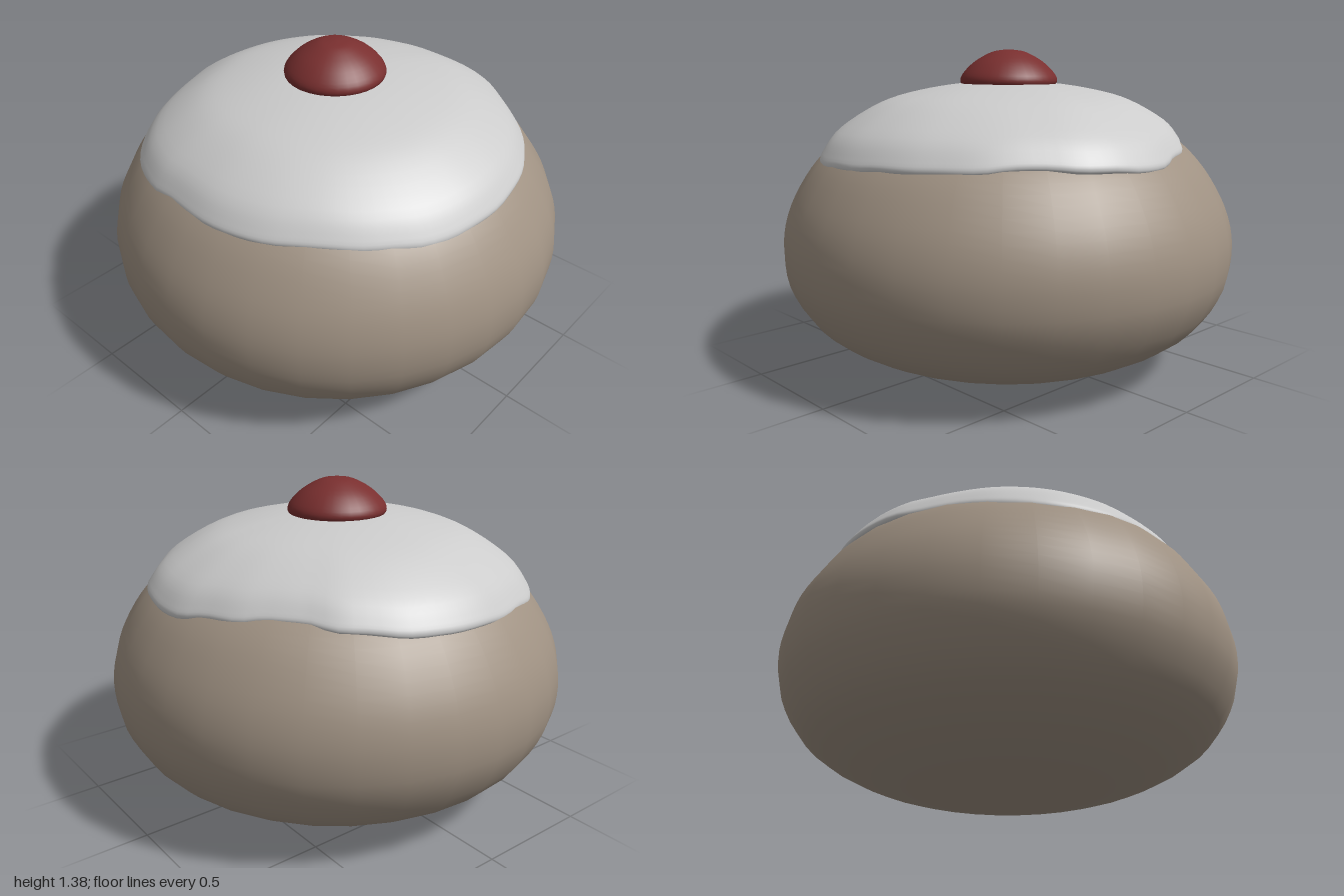
import * as THREE from 'three';
import { mergeVertices } from 'three/addons/utils/BufferGeometryUtils.js';

// Smooth curve through a few [radius, height] points, bottom to top
function profile(points, count) {
  const curve = new THREE.SplineCurve(points.map(([r, y]) => new THREE.Vector2(r, y)));
  const result = curve.getPoints(count);
  result.forEach((p) => { p.x = Math.max(p.x, 0); });
  result[count].x = 0;
  return result;
}

// Turned shape, optionally reshaped by a rule, welded for seamless smooth normals
function turned(name, points, count, sides, color, rule) {
  let geometry = new THREE.LatheGeometry(profile(points, count), sides);
  geometry.deleteAttribute('uv');
  geometry.deleteAttribute('normal');
  const pos = geometry.attributes.position;
  const v = new THREE.Vector3();
  if (rule) {
    for (let i = 0; i < pos.count; i++) {
      rule(v.fromBufferAttribute(pos, i));
      pos.setXYZ(i, v.x, v.y, v.z);
    }
  }
  geometry = mergeVertices(geometry, 1e-5);
  geometry.computeVertexNormals();
  const material = new THREE.MeshStandardMaterial({ color, side: THREE.DoubleSide });
  const mesh = new THREE.Mesh(geometry, material);
  mesh.name = name;
  return mesh;
}

// Icing rim: [angle from +x towards +z, radius, height of the lower edge]
const RIM = [
  [0, 0.83, 0.925], [21, 0.83, 0.94], [37, 0.80, 0.955], [56, 0.815, 0.937],
  [76, 0.825, 0.932], [94, 0.832, 0.918], [111, 0.836, 0.905], [128, 0.82, 0.922],
  [143, 0.81, 0.937], [162, 0.82, 0.93], [173, 0.82, 0.925], [187, 0.81, 0.925],
  [205, 0.837, 0.90], [217, 0.856, 0.885], [230, 0.85, 0.89], [249, 0.828, 0.91],
  [270, 0.835, 0.925], [288, 0.83, 0.93], [302, 0.80, 0.955], [322, 0.762, 0.977],
  [343, 0.79, 0.955],
];

// Cosine-weighted rim value at any angle
function rimAt(degrees) {
  let radius = 0, height = 0, total = 0;
  for (const [a, r, y] of RIM) {
    const d = Math.abs(((degrees - a + 540) % 360) - 180);
    const w = Math.exp(-((d / 9) ** 2));
    radius += w * r;
    height += w * y;
    total += w;
  }
  return [radius / total, height / total];
}

// The unit icing cap is scaled to the rim at each angle
function shapeIcing(v) {
  const degrees = (THREE.MathUtils.radToDeg(Math.atan2(v.z, v.x)) + 360) % 360;
  const [radius, edge] = rimAt(degrees);
  v.x *= radius;
  v.z *= radius;
  v.y = edge + v.y * (1.25 - edge);
}

export function createModel() {
  const model = new THREE.Group();
  model.name = 'icedBun';

  // Bun
  model.add(turned('bun', [
    [0, 0.005], [0.3, 0.018], [0.6, 0.07], [0.85, 0.2], [0.97, 0.37], [1, 0.53],
    [0.976, 0.68], [0.91, 0.82], [0.82, 0.94], [0.69, 1.04], [0.5, 1.13], [0.25, 1.18], [0, 1.195],
  ], 40, 32, 0xa09283));

  // Icing with a rolled, wavy edge
  model.add(turned('icing', [
    [0.9, 0.04], [0.96, 0], [0.985, -0.005], [1, 0.04], [0.985, 0.14], [0.9, 0.4],
    [0.7, 0.71], [0.5, 0.87], [0.25, 0.975], [0, 1],
  ], 36, 96, 0xcccccc, shapeIcing));

  // Jam dollop
  const jam = turned('jam', [
    [0, 1.21], [0.15, 1.215], [0.2, 1.23], [0.216, 1.255], [0.2, 1.29],
    [0.15, 1.338], [0.08, 1.377], [0.035, 1.387], [0, 1.39],
  ], 24, 32, 0x792f2f);
  jam.position.z = -0.006;
  model.add(jam);

  return model;
}
